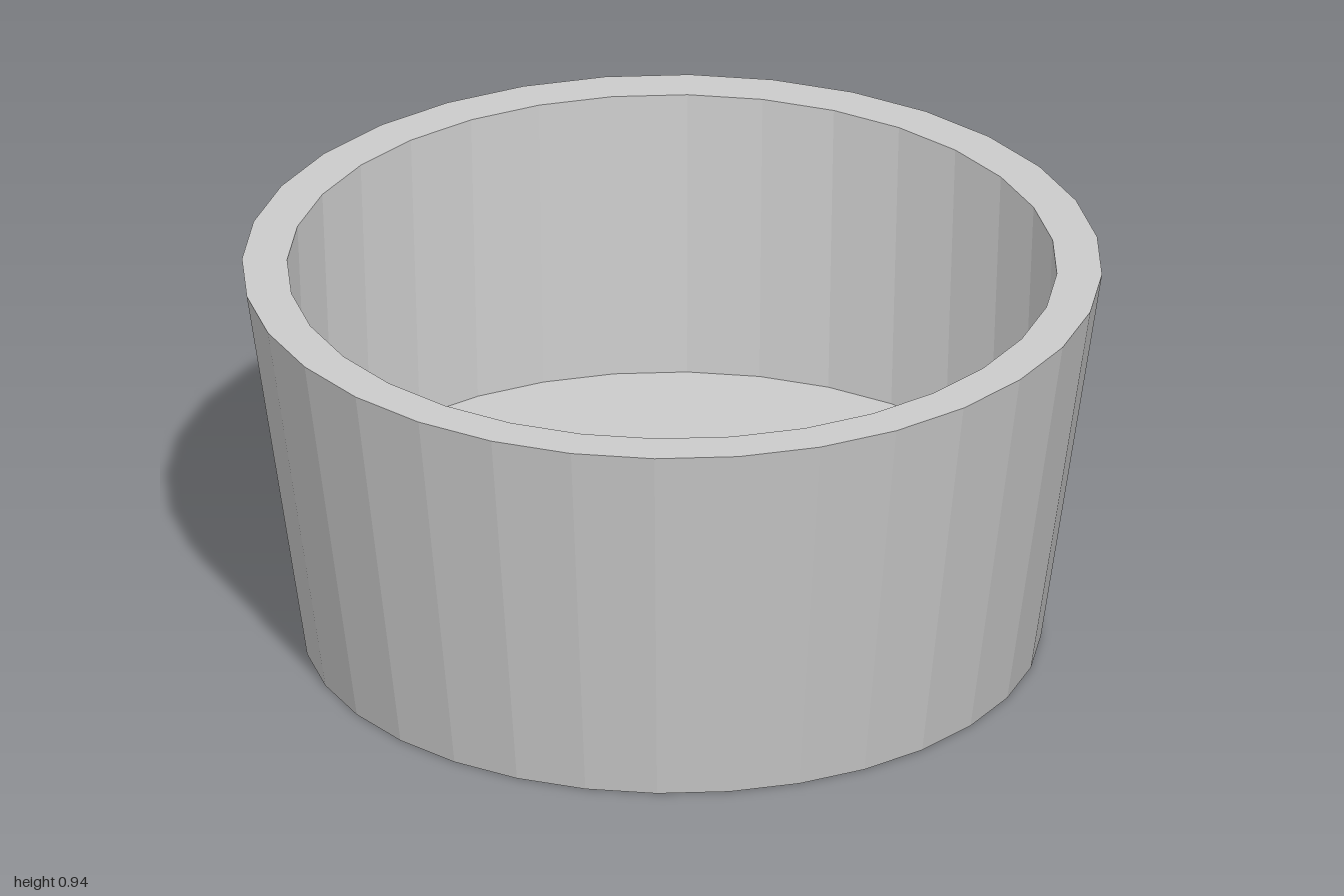
import * as THREE from 'three';

const SIDES = 32;

export function createModel() {
  const group = new THREE.Group();
  group.name = 'taperedBowl';

  // Closed profile: underside, outer wall, flat rim, inner wall, raised floor
  const profile = [
    [0, 0], [0.858, 0], [1, 0.94], [0.895, 0.94], [0.865, 0.235], [0, 0.235],
  ].map(([r, y]) => new THREE.Vector2(r, y));

  const bowl = new THREE.Mesh(
    new THREE.LatheGeometry(profile, SIDES),
    new THREE.MeshStandardMaterial({ color: 0xcccccc, flatShading: true })
  );
  bowl.name = 'bowl';
  group.add(bowl);
  return group;
}
